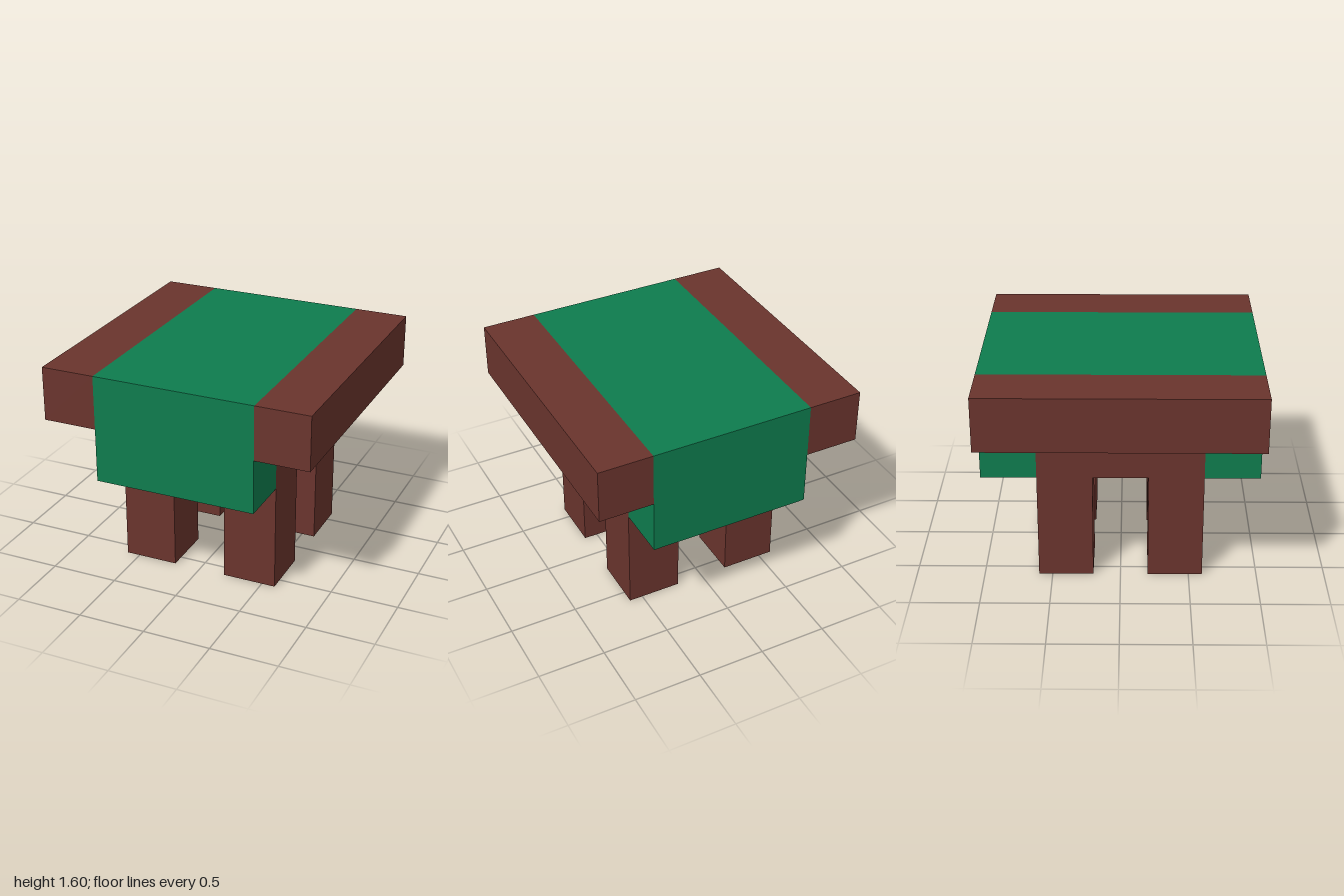
import * as THREE from 'three';

export function createModel() {
  const model = new THREE.Group();
  model.name = 'drapedTable';

  const wood = new THREE.MeshStandardMaterial({ color: 0x6a342d });
  wood.name = 'brown wood';
  const cloth = new THREE.MeshStandardMaterial({ color: 0x0e7c4e });
  cloth.name = 'green cloth';

  // Box placed by its centre in x and z and by its underside in y
  function block(name, material, [w, h, d], [x, y, z]) {
    const mesh = new THREE.Mesh(new THREE.BoxGeometry(w, h, d), material);
    mesh.name = name;
    mesh.position.set(x, y + h / 2, z);
    model.add(mesh);
  }

  // Table top: cloth band along the middle, wooden boards at the sides
  block('clothTop', cloth, [1.2, 0.4, 2], [0, 1.2, 0]);
  // Solid frame under the top
  block('frame', wood, [1.2, 0.4, 1.2], [0, 0.8, 0]);

  for (const s of [1, -1]) {
    const side = s > 0 ? 'left' : 'right';
    const end = s > 0 ? 'front' : 'back';
    block(`${side}Board`, wood, [0.4, 0.4, 2], [0.8 * s, 1.2, 0]);
    // Cloth hanging down at each end
    block(`${end}ClothDrop`, cloth, [1.2, 0.4, 0.4], [0, 0.8, 0.8 * s]);
    // Legs
    for (const t of [1, -1]) {
      const legEnd = t > 0 ? 'Front' : 'Back';
      block(`${side}${legEnd}Leg`, wood, [0.4, 0.8, 0.4], [0.4 * s, 0, 0.4 * t]);
    }
  }
  return model;
}
